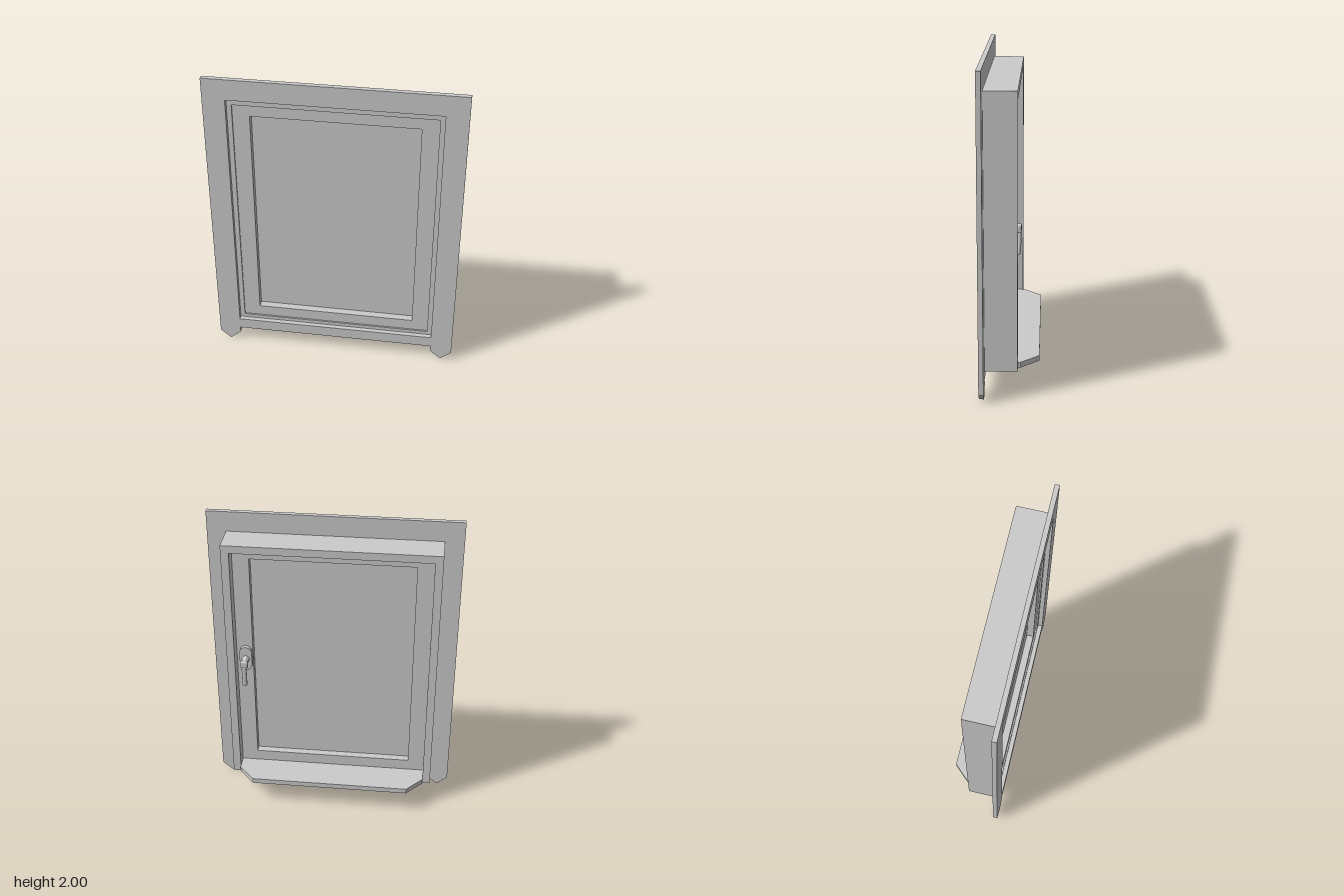
import * as THREE from 'three';
import { RoundedBoxGeometry } from 'three/addons/geometries/RoundedBoxGeometry.js';
import { toCreasedNormals } from 'three/addons/utils/BufferGeometryUtils.js';

const material = new THREE.MeshStandardMaterial({ color: 0xcccccc });

function polygon(points) {
  return new THREE.Shape(points.map(([x, y]) => new THREE.Vector2(x, y)));
}

// Rectangle outline, symmetric in x
function rect(halfWidth, bottom, top) {
  return polygon([[-halfWidth, bottom], [halfWidth, bottom], [halfWidth, top], [-halfWidth, top]]);
}

// Extrude an outline, with an optional hole, from z0 to z1
function slab(outline, hole, z0, z1) {
  if (hole) outline.holes.push(hole);
  const geometry = new THREE.ExtrudeGeometry(outline, { depth: z1 - z0, bevelEnabled: false, curveSegments: 12 });
  return geometry.translate(0, 0, z0);
}

function add(parent, name, geometry) {
  const mesh = new THREE.Mesh(geometry, material);
  mesh.name = name;
  parent.add(mesh);
  return mesh;
}

function createHandle() {
  const handle = new THREE.Group();
  handle.name = 'handle';
  handle.position.set(0.56, 1.035, 0);

  // Backplate with rounded ends
  const plate = new THREE.Shape();
  const r = 0.04, h = 0.045;
  plate.absarc(0, h, r, 0, Math.PI);
  plate.absarc(0, -h, r, Math.PI, Math.PI * 2);
  add(handle, 'handlePlate', toCreasedNormals(slab(plate, null, 0.01, 0.036), 0.6));

  // Neck joining plate and lever
  const neck = new THREE.CylinderGeometry(0.019, 0.024, 0.075, 20).rotateX(-Math.PI / 2);
  add(handle, 'handleNeck', toCreasedNormals(neck, 0.6)).position.z = -0.025;
  add(handle, 'handleHub', new RoundedBoxGeometry(0.05, 0.046, 0.026, 3, 0.009)).position.z = -0.057;

  // Gently bowed, hanging lever
  const path = new THREE.CatmullRomCurve3([
    [0, 0, -0.057], [0, -0.05, -0.059], [0, -0.11, -0.057], [0, -0.156, -0.053],
  ].map((p) => new THREE.Vector3(...p)));
  const lever = new THREE.TubeGeometry(path, 16, 0.01, 12).scale(1.6, 1, 1);
  add(handle, 'handleLever', lever);
  const tip = add(handle, 'handleTip', new THREE.SphereGeometry(0.01, 12, 8));
  tip.scale.x = 1.6;
  tip.position.set(0, -0.156, -0.053);
  return handle;
}

export function createModel() {
  const model = new THREE.Group();
  model.name = 'window';

  // Front casing with a pointed foot at each lower corner
  const right = [[0.65, 0.1], [0.65, 0.06], [0.72, 0], [0.79, 0.06], [0.79, 2]];
  const left = right.map(([x, y]) => [-x, y]).reverse();
  add(model, 'casing', slab(polygon([...right, ...left]), rect(0.65, 0.175, 1.865), 0.15, 0.18));

  // Deep lining through the wall
  add(model, 'lining', slab(rect(0.67, 0.16, 1.87), rect(0.62, 0.2, 1.82), -0.05, 0.15));

  // Sash set inside the lining, and its pane
  add(model, 'sash', slab(rect(0.62, 0.2, 1.82), rect(0.515, 0.275, 1.745), 0.036, 0.14));
  add(model, 'pane', slab(rect(0.52, 0.27, 1.75), null, 0.083, 0.093));

  // Inner sill with chamfered corners
  const sill = polygon([[-0.62, 0.05], [-0.62, 0.065], [-0.515, 0.18], [0.515, 0.18], [0.62, 0.065], [0.62, 0.05]].reverse());
  const sillGeometry = slab(sill, null, 0, 0.035).rotateX(-Math.PI / 2);
  add(model, 'sill', sillGeometry).position.y = 0.165;

  model.add(createHandle());
  return model;
}
